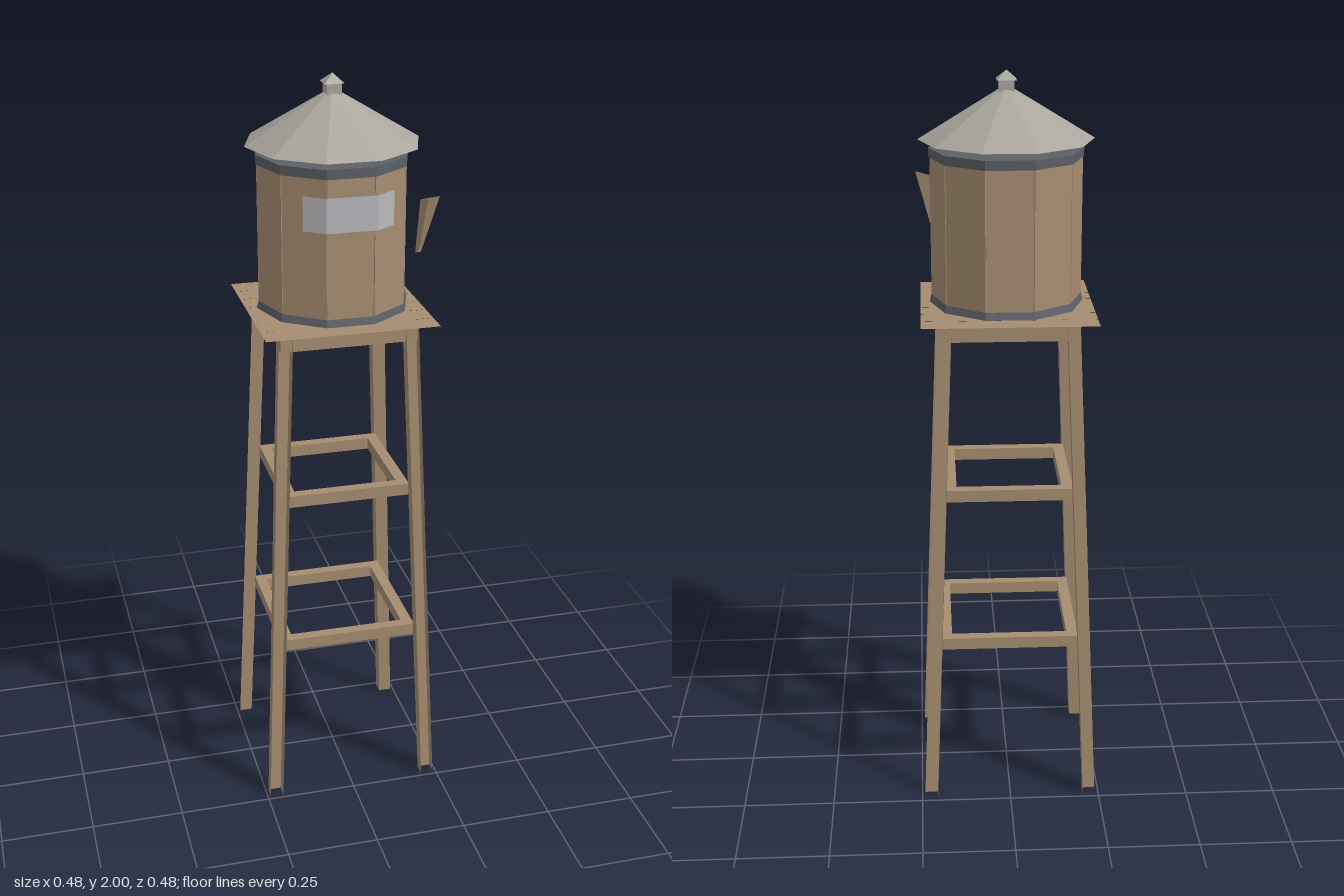
import * as THREE from 'three';

const mat = (name, color) => {
  const m = new THREE.MeshStandardMaterial({ color, side: THREE.DoubleSide, flatShading: true });
  m.name = name;
  return m;
};

export function createModel() {
  const wood = mat('timber', 0xa58d70);
  const stave = mat('staves', 0xa78d72);
  const seam = mat('dark seam', 0x4a4035);
  const band = mat('dark metal', 0x5c6166);
  const roofMat = mat('roof metal', 0xaaa69d);
  const signMat = mat('sign grey', 0xb9b8bc);

  const model = new THREE.Group();
  model.name = 'waterTower';

  const add = (name, geo, material, x = 0, y = 0, z = 0, parent = model) => {
    const m = new THREE.Mesh(geo, material);
    m.name = name;
    m.position.set(x, y, z);
    parent.add(m);
    return m;
  };
  // Thin sheet lofted between two rows of points
  const sheet = (a, b) => {
    const pos = [];
    for (let i = 0; i < a.length - 1; i++) {
      pos.push(...a[i], ...b[i], ...b[i + 1], ...a[i], ...b[i + 1], ...a[i + 1]);
    }
    const g = new THREE.BufferGeometry();
    g.setAttribute('position', new THREE.Float32BufferAttribute(pos, 3));
    g.computeVertexNormals();
    return g;
  };
  // Ten-sided drum with corners on the x axis
  const drum = (rTop, rBottom, h, open) =>
    new THREE.CylinderGeometry(rTop, rBottom, h, 10, 1, open, Math.PI / 2);

  // Splayed angle-section legs; the front pair has an extra outer flange
  const inTop = 0.15, inLow = 0.206, w = 0.036, legTop = 1.38;
  for (const sx of [-1, 1]) for (const sz of [-1, 1]) {
    const section = (c, y) => {
      const row = [[sx * c, y, sz * (c + w)], [sx * c, y, sz * c], [sx * (c + w), y, sz * c]];
      if (sz > 0) row.push([sx * (c + w), y, c + 0.03]);
      return row;
    };
    add(sz > 0 ? 'frontLeg' : 'backLeg', sheet(section(inTop, legTop), section(inLow, 0)), wood);
  }

  // Two rings of cross rails between the legs
  for (const y of [0.463, 0.897]) {
    const c = inLow + (inTop - inLow) * y / legTop;
    for (const s of [-1, 1]) {
      add('crossRail', new THREE.BoxGeometry(2 * c, 0.033, 0.03), wood, 0, y, s * (c - 0.013));
      add('sideRail', new THREE.BoxGeometry(0.03, 0.033, 2 * c), wood, s * (c - 0.013), y, 0);
    }
  }
  // Top beams under the deck
  for (const s of [-1, 1]) {
    add('topBeam', new THREE.BoxGeometry(0.365, 0.048, 0.03), wood, 0, 1.355, s * 0.165);
    add('sideTopBeam', new THREE.BoxGeometry(0.03, 0.042, 0.3), wood, s * 0.165, 1.358, 0);
  }

  // Deck planks
  const plankW = 0.46 / 7;
  for (let i = 0; i < 7; i++) {
    const g = new THREE.PlaneGeometry(0.46, plankW - 0.001).rotateX(-Math.PI / 2);
    add('deckPlank', g, wood, 0, 1.384, (i - 3) * plankW);
  }

  // Tank: dark core, ten wide staves and two metal bands
  add('tankCore', drum(0.194, 0.194, 0.4, false), seam, 0, 1.595);
  const apothem = 0.2 * Math.cos(Math.PI / 10);
  for (let i = 0; i < 10; i++) {
    const a = (i + 0.5) * Math.PI / 5;
    const r = apothem - 0.003;
    const p = add('tankStave', new THREE.BoxGeometry(0.121, 0.4, 0.006), stave,
      Math.cos(a) * r, 1.595, Math.sin(a) * r);
    p.rotation.y = Math.PI / 2 - a;
  }
  add('lowerBand', drum(0.2, 0.205, 0.02, true), band, 0, 1.403);
  add('upperBand', drum(0.203, 0.202, 0.025, false), band, 0, 1.791);

  // Conical roof with a small capped finial
  add('roof', drum(0.01, 0.23, 0.133, true), roofMat, 0, 1.8915);
  add('finialPost', new THREE.BoxGeometry(0.04, 0.035, 0.04), roofMat, 0, 1.96);
  add('finialCap', new THREE.ConeGeometry(0.026 * Math.SQRT2, 0.024, 4, 1, false, Math.PI / 4),
    roofMat, 0, 1.988);

  // Sign bent around three faces of the tank: timber board with grey panel
  const bent = (z, half, yLow, yHigh) => {
    const k = 0.062 + (z - 0.19) * Math.tan(Math.PI / 10);
    const zEnd = z - (half - k) * Math.tan(Math.PI / 5);
    const row = (y) => [[-half, y, zEnd], [-k, y, z], [k, y, z], [half, y, zEnd]];
    return sheet(row(yHigh), row(yLow));
  };
  add('signBoard', bent(0.198, 0.14, 1.63, 1.745), wood);
  add('signPanel', bent(0.204, 0.118, 1.645, 1.735), signMat);

  // V-shaped spout hanging beside the tank
  add('spout', sheet(
    [[0.2, 1.71, 0.188], [0.192, 1.7, 0.148], [0.238, 1.71, 0.165], [0.222, 1.69, 0.185]],
    [[0.187, 1.57, 0.162], [0.182, 1.56, 0.146], [0.197, 1.56, 0.145], [0.2, 1.58, 0.155]]), wood);

  return model;
}
